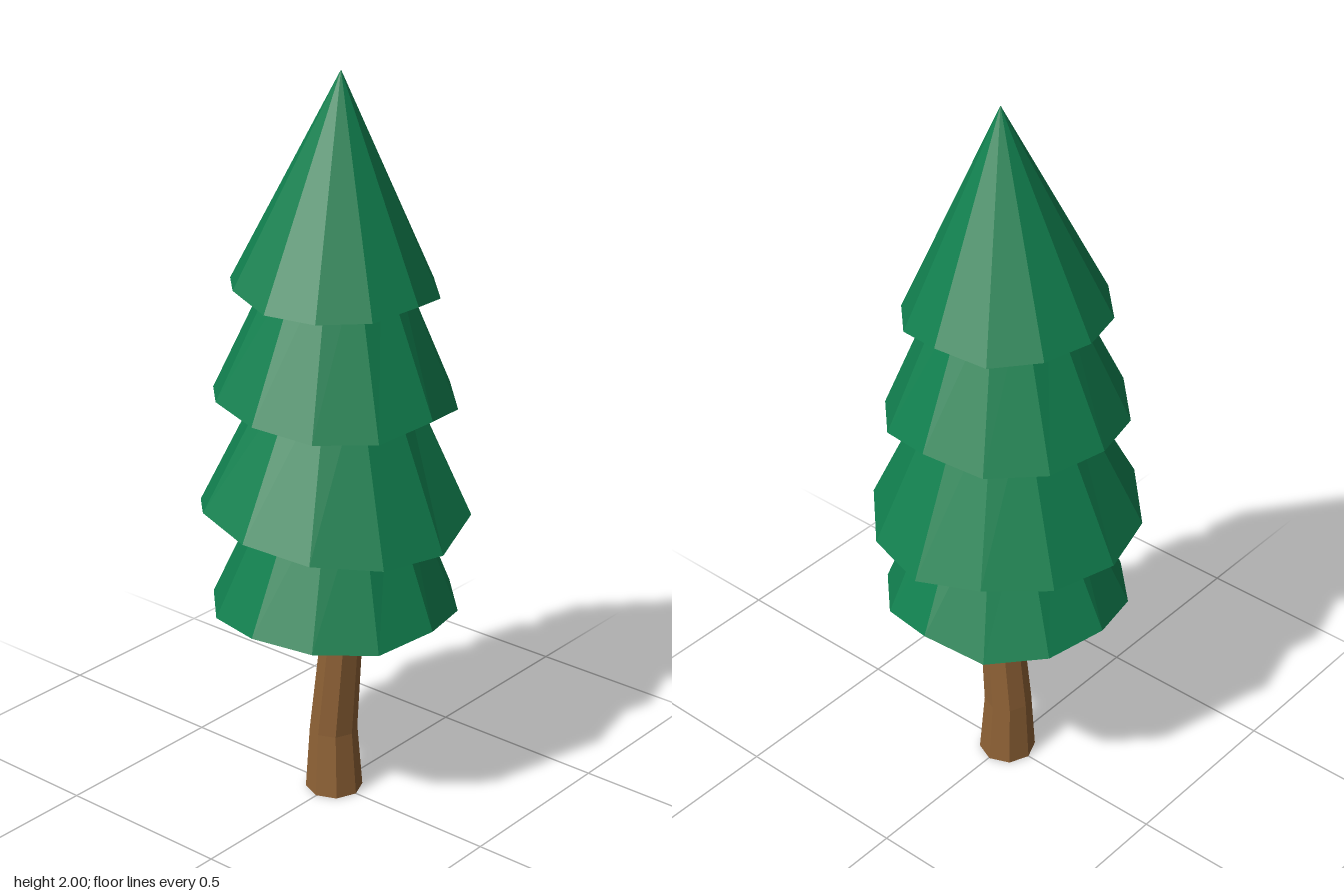
import * as THREE from 'three';

// Each tier: rim radius, top radius, top height, top x offset, rim heights (from +x towards +z)
const TIERS = [
  { name: 'lowestTier', r: 0.33, rTop: 0.165, top: 0.95, dx: 0.015,
    rim: [0.575, 0.555, 0.565, 0.575, 0.565, 0.565, 0.59, 0.575, 0.565, 0.6, 0.57, 0.56] },
  { name: 'lowerTier', r: 0.36, rTop: 0.16, top: 1.25, dx: 0.01,
    rim: [0.8, 0.805, 0.825, 0.85, 0.87, 0.83, 0.82, 0.82, 0.83, 0.8, 0.81, 0.84] },
  { name: 'upperTier', r: 0.32, rTop: 0.14, top: 1.55, dx: 0.01,
    rim: [1.155, 1.13, 1.135, 1.155, 1.17, 1.15, 1.16, 1.15, 1.15, 1.175, 1.145, 1.13] },
  { name: 'topTier', r: 0.27, rTop: 0, top: 2, dx: 0.02,
    rim: [1.445, 1.43, 1.43, 1.435, 1.46, 1.45, 1.455, 1.45, 1.44, 1.46, 1.435, 1.425] },
];

// Twelve-sided cone with an uneven rim and a slightly shifted top
function tierGeometry({ r, rTop, top, dx, rim }) {
  const geo = new THREE.CylinderGeometry(rTop, r, 2, 12, 1);
  const pos = geo.attributes.position;
  const mean = rim.reduce((a, b) => a + b, 0) / rim.length;
  for (let i = 0; i < pos.count; i++) {
    const x = pos.getX(i), z = pos.getZ(i);
    if (pos.getY(i) > 0) {
      pos.setXYZ(i, x + dx, top, z);
    } else if (Math.hypot(x, z) < 0.01) {
      pos.setY(i, mean);
    } else {
      const k = Math.round(Math.atan2(z, x) / (Math.PI / 6));
      pos.setY(i, rim[(k + 12) % 12]);
    }
  }
  geo.computeVertexNormals();
  return geo;
}

// Bent eight-sided trunk; rings are [y, x centre, radius] from top to bottom
function trunkGeometry() {
  const rings = [[0.7, 0.047, 0.05], [0.18, -0.004, 0.065], [0, -0.002, 0.078]];
  const geo = new THREE.CylinderGeometry(1, 1, 2, 8, 2, true);
  const pos = geo.attributes.position;
  for (let i = 0; i < pos.count; i++) {
    const [y, cx, r] = rings[1 - Math.round(pos.getY(i))];
    pos.setXYZ(i, cx + pos.getX(i) * r, y, pos.getZ(i) * r);
  }
  geo.computeVertexNormals();
  return geo;
}

export function createModel() {
  const material = (name, color) => {
    const m = new THREE.MeshStandardMaterial({ color, flatShading: true });
    m.name = name;
    return m;
  };
  const needles = material('needle green', 0x11804f);
  const bark = material('bark brown', 0x8f6236);
  const cut = material('cut grey', 0x9c9c98);

  const tree = new THREE.Group();
  tree.name = 'tree';
  const add = (name, geo, mat) => {
    const mesh = new THREE.Mesh(geo, mat);
    mesh.name = name;
    tree.add(mesh);
    return mesh;
  };

  // Foliage
  for (const tier of TIERS) add(tier.name, tierGeometry(tier), needles);

  // Trunk and its cut base
  add('trunk', trunkGeometry(), bark);
  const base = add('trunkBase', new THREE.CircleGeometry(0.078, 8), cut);
  base.rotation.x = Math.PI / 2;
  base.position.x = -0.002;

  return tree;
}
